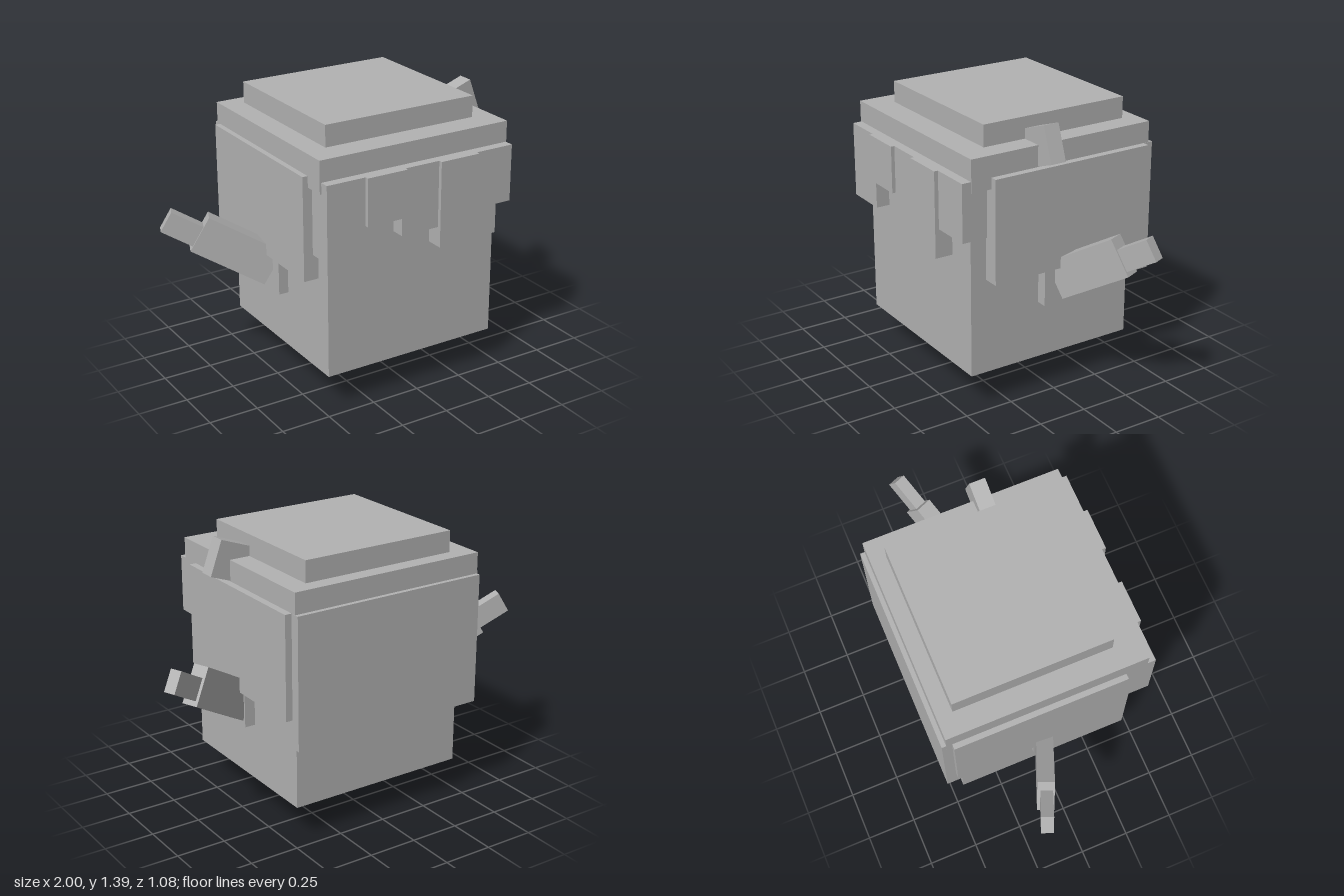
import * as THREE from 'three';

export function createModel() {
  const grey = new THREE.MeshStandardMaterial({ color: 0xb2b2b2 });
  grey.name = 'plainGrey';
  const model = new THREE.Group();
  model.name = 'blockHead';

  // Box given by its lower and upper corner
  function block(name, [x0, y0, z0], [x1, y1, z1], parent = model) {
    const mesh = new THREE.Mesh(new THREE.BoxGeometry(x1 - x0, y1 - y0, z1 - z0), grey);
    mesh.position.set((x0 + x1) / 2, (y0 + y1) / 2, (z0 + z1) / 2);
    mesh.name = name;
    parent.add(mesh);
    return mesh;
  }

  // Box given by size, centre and tilt (yaw about y after roll about z)
  function tilted(name, size, centre, yaw, roll) {
    const mesh = new THREE.Mesh(new THREE.BoxGeometry(...size), grey);
    mesh.position.set(...centre);
    mesh.rotation.set(0, yaw, roll, 'YZX');
    mesh.name = name;
    model.add(mesh);
  }

  // Head and neck
  block('neck', [-0.16, 0, -0.16], [0.155, 0.19, 0.13]);
  block('head', [-0.47, 0.18, -0.45], [0.465, 1.2, 0.45]);

  // Hair on top, in two steps, and at the back
  block('hairCap', [-0.52, 1.12, -0.52], [0.512, 1.28, 0.473]);
  block('hairCrown', [-0.41, 1.27, -0.442], [0.405, 1.387, 0.34]);
  block('backHair', [-0.518, 0.52, -0.542], [0.513, 1.175, -0.405]);

  // Fringe locks: left edge, right edge, bottom, front
  const fringe = [
    [-0.512, -0.293, 0.797, 0.52],
    [-0.31, -0.096, 0.94, 0.538],
    [-0.112, 0.092, 0.845, 0.52],
    [0.09, 0.305, 0.747, 0.54],
    [0.3, 0.51, 0.89, 0.52],
  ];
  fringe.forEach(([x0, x1, y0, z1], i) =>
    block('fringeLock' + (i + 1), [x0, y0, 0.39], [x1, 1.175, z1]));

  // Side hair, ear bases and pointed ears on both sides
  const yaw = THREE.MathUtils.degToRad(22.5);
  const roll = THREE.MathUtils.degToRad(30);
  for (const [side, s] of [['left', 1], ['right', -1]]) {
    const span = (a, b) => (s > 0 ? [a, b] : [-b, -a]);
    const [h0, h1] = span(0.45, 0.547);
    block(side + 'SideHair', [h0, 0.66, -0.492], [h1, 1.175, 0.368]);
    const [e0, e1] = span(0.45, 0.52);
    block(side + 'EarBase', [e0, 0.47, -0.082], [e1, 0.75, 0.075]);
    tilted(side + 'Ear', [0.4, 0.19, 0.083], [s * 0.66, 0.687, -0.086], s * yaw, s * roll);
    tilted(side + 'EarTip', [0.25, 0.11, 0.06], [s * 0.864, 0.796, -0.167], s * yaw, s * roll);
  }

  // Stray lock sticking out near the crown
  tilted('strayLock', [0.25, 0.18, 0.08], [0.467, 1.257, 0.077], 0, THREE.MathUtils.degToRad(20));

  return model;
}
